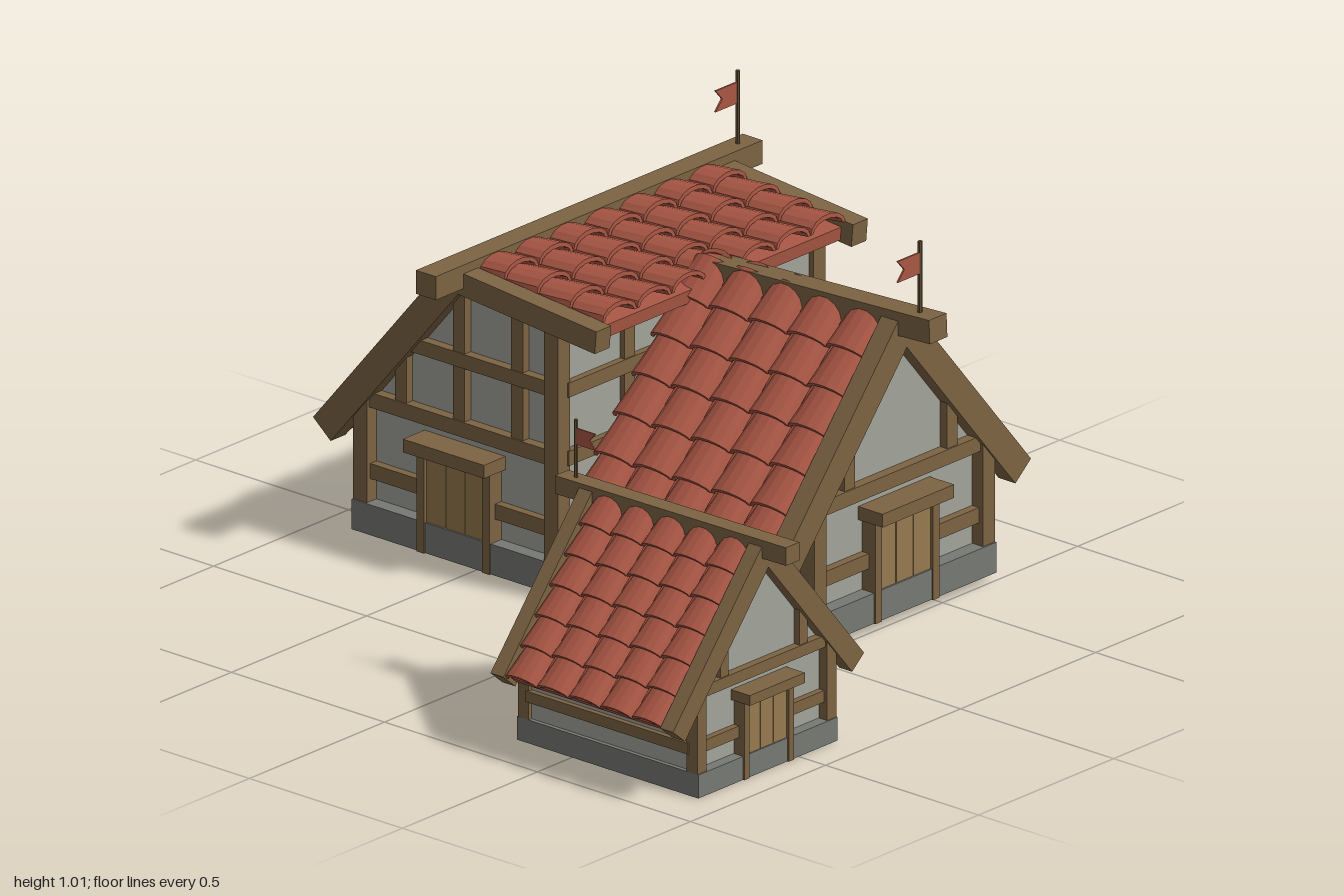
import * as THREE from 'three';
import { mergeGeometries } from 'three/addons/utils/BufferGeometryUtils.js';

const mat = (color, extra = {}) => new THREE.MeshStandardMaterial({ color, flatShading: true, ...extra });
const WOOD = mat(0x7d6443), PLANK = mat(0x967a4e), WALL = mat(0xa3a59b), STONE = mat(0x777974);
const TILE = mat(0xa85644, { side: THREE.DoubleSide }), POLE = mat(0x5f4c33);

const PITCH = Math.atan(1.19), APEX = 0.772, SHALLOW = 0.09;
const HALF = 0.32; // half width of the walls

function add(parent, name, geometry, material, x = 0, y = 0, z = 0) {
  const mesh = new THREE.Mesh(geometry, material);
  mesh.name = name;
  mesh.position.set(x, y, z);
  parent.add(mesh);
  return mesh;
}
const box = (parent, name, w, h, d, x, y, z, material = WOOD) =>
  add(parent, name, new THREE.BoxGeometry(w, h, d), material, x, y, z);

// Curved roof tile: an arched strip running down +z, raised at its lower end
function tileGeometry(width, length) {
  const pts = [], n = 7;
  for (const [r, h, dir] of [[width / 2, 0.037, 1], [width / 2 - 0.01, 0.025, -1]])
    for (let i = 0; i <= n; i++) {
      const a = Math.PI * (dir > 0 ? i / n : 1 - i / n);
      pts.push(new THREE.Vector2(Math.cos(a) * r, Math.sin(a) * h));
    }
  const geo = new THREE.ExtrudeGeometry(new THREE.Shape(pts), { depth: length, bevelEnabled: false });
  const p = geo.attributes.position;
  for (let i = 0; i < p.count; i++) if (p.getZ(i) < 0.001) p.setX(i, p.getX(i) * 0.88);
  return geo.rotateX(-0.17);
}

// One roof face: boarding plus rows of tiles, running down local +z
function roofSlope(parent, x0, x1, length, rows, pitch, yaw, y) {
  const roof = new THREE.Group();
  roof.name = 'roofSlope';
  roof.rotation.set(pitch, yaw, 0, 'YXZ');
  roof.position.set((x0 + x1) / 2, y, 0);
  const span = x1 - x0 - 0.02, cols = Math.round(span / 0.13), w = span / cols, step = length / rows;
  box(roof, 'roofBoards', span, 0.035, length, 0, -0.016, length / 2, TILE);
  const tile = tileGeometry(w, step + 0.012), tiles = [];
  for (let c = 0; c < cols; c++)
    for (let r = 0; r < rows; r++)
      tiles.push(tile.clone().translate((c + 0.5) * w - span / 2, 0, r * step));
  add(roof, 'roofTiles', mergeGeometries(tiles), TILE);
  parent.add(roof);
}

// Plank door with jambs and a projecting lintel
function door(parent) {
  const g = new THREE.Group();
  g.name = 'door';
  for (const i of [-1, 0, 1]) box(g, 'doorPlank', 0.062, 0.268, 0.03, i * 0.064, 0.154, 0.02, PLANK);
  for (const s of [-1, 1]) box(g, 'doorJamb', 0.024, 0.275, 0.045, s * 0.107, 0.157, 0.022);
  box(g, 'doorLintel', 0.265, 0.035, 0.08, 0, 0.305, 0.04);
  parent.add(g);
}

// Timbered end wall facing local +z; tall is the side (+1, -1) with a nearly flat roof, or 0
function gable(parent, x, yaw, tall) {
  const g = new THREE.Group();
  g.name = 'gable';
  g.position.x = x;
  g.rotation.y = yaw;
  for (const s of [-1, 1]) {
    const top = s === tall ? 0.72 : 0.38;
    box(g, 'cornerPost', 0.045, top - 0.08, 0.045, s * 0.312, (top + 0.08) / 2, 0.013);
    const shallow = s === tall;
    const rake = shallow
      ? box(g, 'rakeBoard', 0.47, 0.06, 0.055, s * 0.23, 0.742, 0.015)
      : box(g, 'rakeBoard', 0.67, 0.075, 0.055, s * 0.215, APEX - 0.215 * 1.19, 0.015);
    rake.rotation.z = -s * (shallow ? SHALLOW : PITCH);
    const h = shallow ? 0.36 : 0.15;
    box(g, 'stud', 0.038, h, 0.03, s * 0.19, 0.38 + h / 2, 0.008);
    box(g, 'lowerRail', 0.21, 0.04, 0.03, s * 0.215, 0.18, 0.008);
  }
  box(g, 'middleRail', 0.65, 0.04, 0.036, 0, 0.37, 0.01);
  if (tall) {
    box(g, 'upperRail', 0.5, 0.038, 0.034, tall * 0.075, 0.55, 0.009);
    box(g, 'kingPost', 0.038, 0.38, 0.03, 0, 0.57, 0.008);
  }
  door(g);
  parent.add(g);
}

// Pole with a swallow-tailed flag
function flag(parent, x, yaw) {
  const g = new THREE.Group();
  g.name = 'flag';
  g.position.set(x, 0.8, 0);
  g.rotation.y = yaw;
  add(g, 'flagPole', new THREE.CylinderGeometry(0.006, 0.006, 0.21, 6), POLE, 0, 0.1, 0);
  const shape = new THREE.Shape([[0, 0.12], [0.085, 0.12], [0.06, 0.148], [0.085, 0.176], [0, 0.176]]
    .map(([a, b]) => new THREE.Vector2(a, b)));
  add(g, 'flagCloth', new THREE.ExtrudeGeometry(shape, { depth: 0.005, bevelEnabled: false }), TILE, 0, 0, -0.0025);
  parent.add(g);
}

// Timbered house with its ridge along x, from x0 to x1
function house(name, x0, x1, { westGable = true, shallow = false, tilt = 0 } = {}) {
  const g = new THREE.Group();
  g.name = name;
  const mid = (x0 + x1) / 2, len = x1 - x0;

  // plaster walls, extruded along the ridge
  const right = shallow ? 0.71 : 0.38;
  const outline = new THREE.Shape([[HALF, 0.05], [HALF, 0.38], [0, 0.755], [-HALF, right], [-HALF, 0.05]]
    .map(([a, b]) => new THREE.Vector2(a, b)));
  add(g, 'walls', new THREE.ExtrudeGeometry(outline, { depth: len, bevelEnabled: false }).rotateY(Math.PI / 2), WALL, x0);

  // stone footing
  const b0 = westGable ? x0 - 0.04 : x0;
  box(g, 'stoneBase', x1 + 0.04 - b0, 0.08, 0.67, (b0 + x1 + 0.04) / 2, 0.06, 0, STONE);

  // long side timbers
  for (const s of [-1, 1]) {
    const tallSide = shallow && s > 0;
    for (const y of tallSide ? [0.18, 0.37, 0.55, 0.7] : [0.18, 0.335])
      box(g, 'sideRail', len, 0.038, 0.03, mid, y, s * (HALF + 0.004));
    if (tallSide)
      for (const f of [0.25, 0.75]) box(g, 'sideStud', 0.038, 0.62, 0.026, x0 + len * f, 0.4, s * (HALF + 0.002));
  }

  // gable ends
  gable(g, x1, Math.PI / 2, shallow ? -1 : 0);
  if (westGable) gable(g, x0, -Math.PI / 2, shallow ? 1 : 0);

  // roof faces and ridge beam
  roofSlope(g, x0, x1, 0.655, 6, PITCH, Math.PI, APEX);
  if (shallow) roofSlope(g, x0, x1, 0.43, 4, SHALLOW, 0, 0.772);
  else roofSlope(g, x0, x1, 0.655, 6, PITCH, 0, APEX);
  const r0 = westGable ? x0 - 0.145 : x0 + 0.08, r1 = x1 + 0.145;
  box(g, 'ridgeBeam', r1 - r0, 0.062, 0.065, (r0 + r1) / 2, 0.782 - tilt * 0.2, 0).rotation.z = tilt;
  return g;
}

export function createModel() {
  const model = new THREE.Group();
  model.name = 'timberedHouses';

  // wing with the steep outer roof and nearly flat inner roof
  const wing = house('crossWing', -0.46, 0.46, { shallow: true });
  wing.rotation.y = Math.PI / 2;
  wing.position.set(-0.54, 0, -0.37);
  flag(wing, 0.55, Math.PI);

  // main house joined to the wing
  const main = house('mainHouse', -0.2, 0.46, { westGable: false, tilt: 0.045 });
  main.position.z = -0.365;
  flag(main, 0.545, -Math.PI / 2);

  // separate small house
  const small = house('smallHouse', -0.345, 0.345, { tilt: 0.01 });
  small.scale.setScalar(0.77);
  small.position.set(0.617, -0.0154, 0.615);
  flag(small, -0.43, 0);

  model.add(wing, main, small);
  return model;
}
